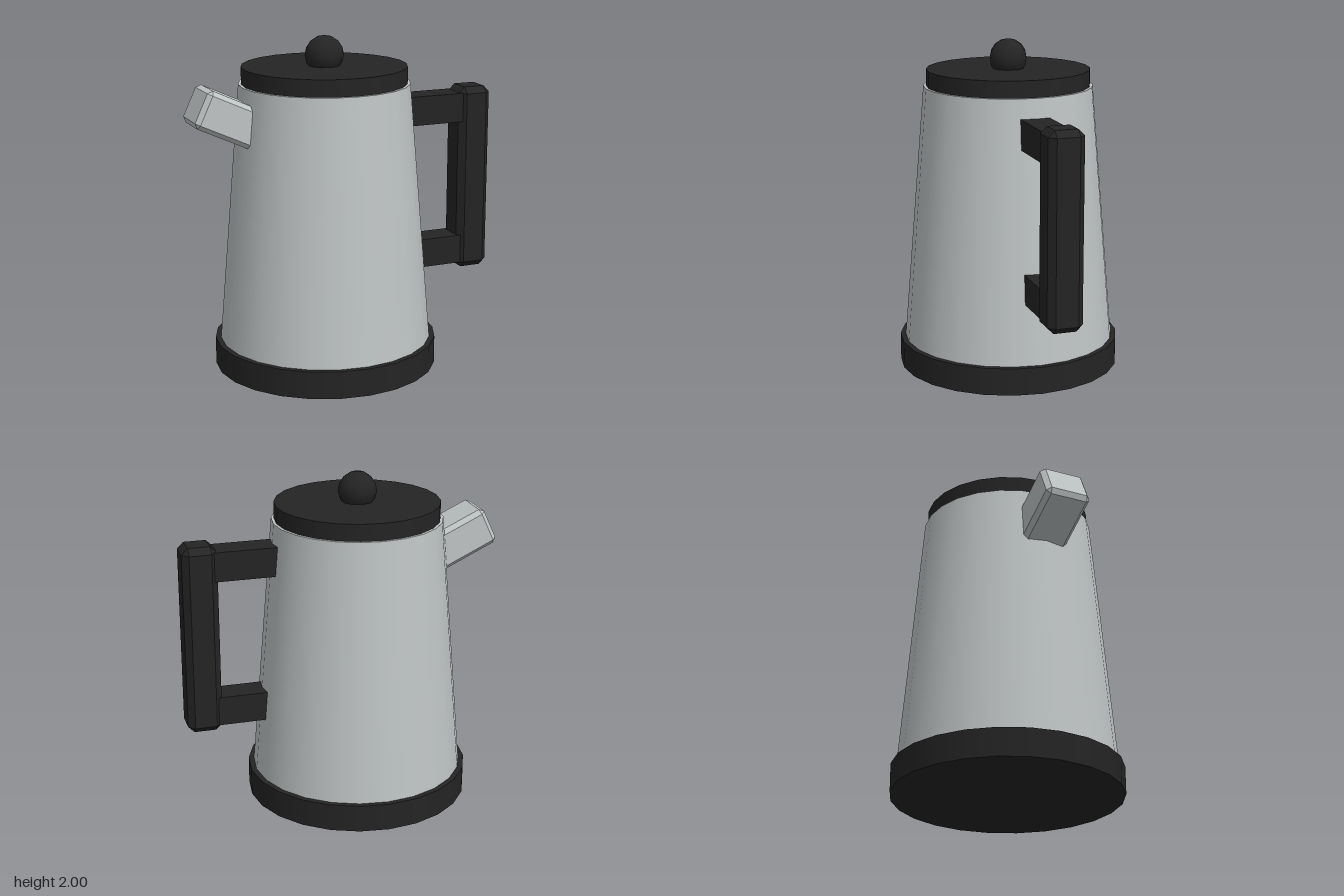
import * as THREE from 'three';
import { ConvexGeometry } from 'three/addons/geometries/ConvexGeometry.js';

const AXIS_X = -0.115; // centre line of the pot
const SIDES = 24;

// Box with every edge and corner cut off by c
function chamferedBox(w, h, d, c) {
  const points = [];
  for (const sx of [-1, 1]) for (const sy of [-1, 1]) for (const sz of [-1, 1]) {
    const x = w / 2, y = h / 2, z = d / 2;
    points.push(
      new THREE.Vector3(sx * x, sy * (y - c), sz * (z - c)),
      new THREE.Vector3(sx * (x - c), sy * y, sz * (z - c)),
      new THREE.Vector3(sx * (x - c), sy * (y - c), sz * z)
    );
  }
  return new ConvexGeometry(points);
}

export function createModel() {
  const steel = new THREE.MeshStandardMaterial({ name: 'steel', color: 0xbfc4c4 });
  const black = new THREE.MeshStandardMaterial({ name: 'black', color: 0x242424 });
  const model = new THREE.Group();
  model.name = 'coffeePot';

  function add(name, geometry, material, x, y, parent = model) {
    const mesh = new THREE.Mesh(geometry, material);
    mesh.name = name;
    mesh.position.set(x, y, 0);
    parent.add(mesh);
    return mesh;
  }
  // Round section between two heights
  function addRound(name, material, rBottom, rTop, y0, y1) {
    const geometry = new THREE.CylinderGeometry(rTop, rBottom, y1 - y0, SIDES);
    return add(name, geometry, material, AXIS_X, (y0 + y1) / 2);
  }

  // Pot, foot and lid
  addRound('base', black, 0.672, 0.672, 0, 0.165);
  addRound('body', steel, 0.64, 0.508, 0.16, 1.722);
  addRound('lid', black, 0.491, 0.491, 1.72, 1.822);

  // Lid knob
  const knob = add('lidKnob', new THREE.SphereGeometry(0.115, 10, 8), black, AXIS_X, 1.885);
  knob.rotation.y = Math.PI / 2;

  // Spout, tilted upward
  const spout = add('spout', chamferedBox(0.5, 0.234, 0.276, 0.026), steel, -0.683, 1.539);
  spout.rotation.z = -THREE.MathUtils.degToRad(25);

  // Handle: upright grip and two arms reaching into the body
  const handle = new THREE.Group();
  handle.name = 'handle';
  model.add(handle);
  add('grip', chamferedBox(0.207, 1.145, 0.21, 0.038), black, 0.8465, 1.067, handle);
  for (const [name, y] of [['upperArm', 1.517], ['lowerArm', 0.618]]) {
    add(name, new THREE.BoxGeometry(0.5, 0.177, 0.176), black, 0.55, y, handle);
  }

  return model;
}
